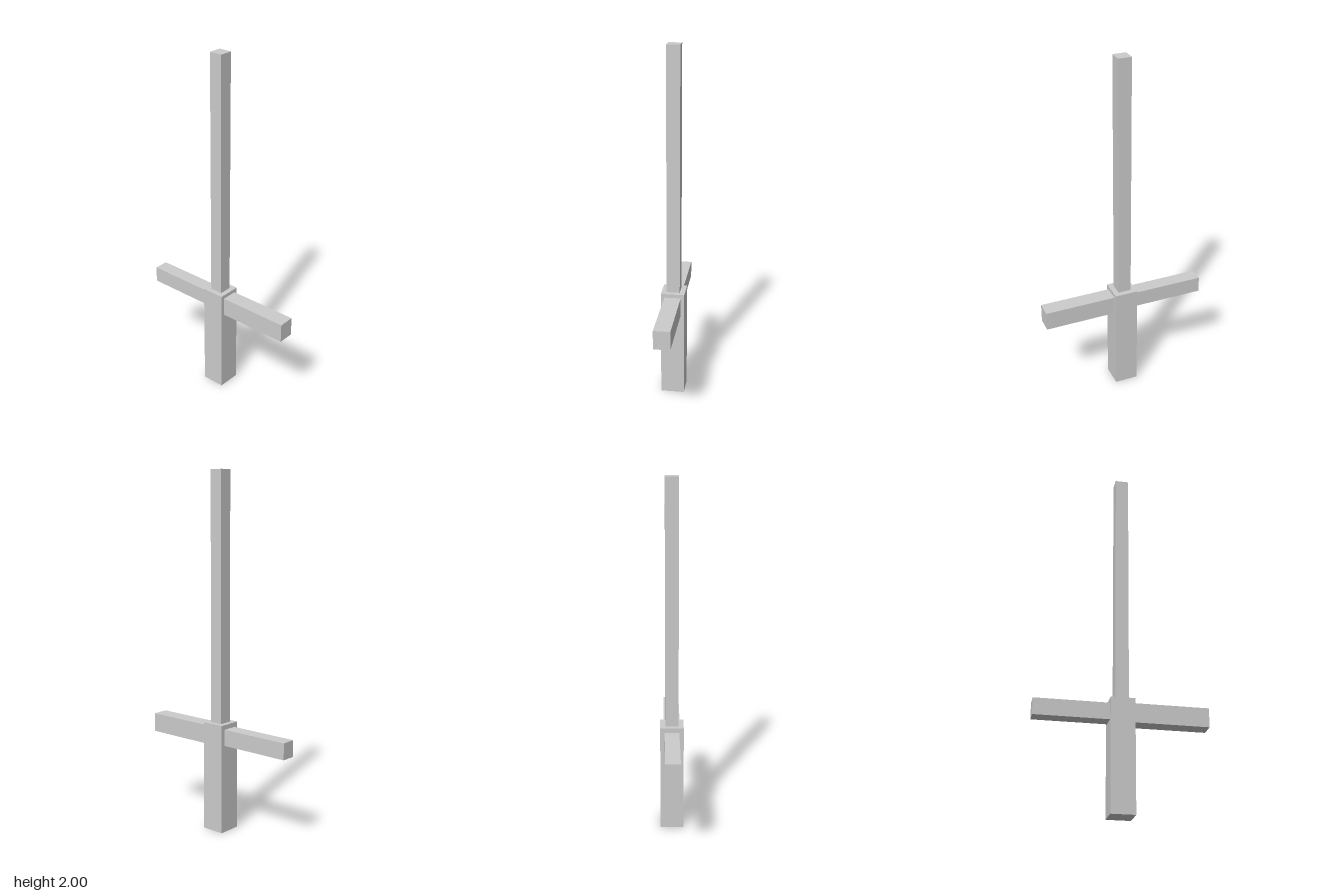
import * as THREE from 'three';

const material = new THREE.MeshStandardMaterial({ color: 0xcccccc, flatShading: true });

// Box given by its extents along each axis
function block(name, [x0, x1], [y0, y1], [z0, z1]) {
  const mesh = new THREE.Mesh(new THREE.BoxGeometry(x1 - x0, y1 - y0, z1 - z0), material);
  mesh.position.set((x0 + x1) / 2, (y0 + y1) / 2, (z0 + z1) / 2);
  mesh.name = name;
  return mesh;
}

export function createModel() {
  const group = new THREE.Group();
  group.name = 'sword';

  const grip = 0.066, blade = 0.037;
  group.add(
    // Thick square grip and slimmer long blade
    block('grip', [-grip, grip], [0, 0.62], [-grip, grip]),
    block('blade', [-blade, blade], [0.62, 2], [-blade, blade]),
    // Crossguard arms, the front one slightly thicker
    block('frontGuard', [-0.046, 0.046], [0.492, 0.599], [grip, 0.472]),
    block('backGuard', [-0.041, 0.041], [0.502, 0.594], [-0.472, -grip]),
  );
  return group;
}
